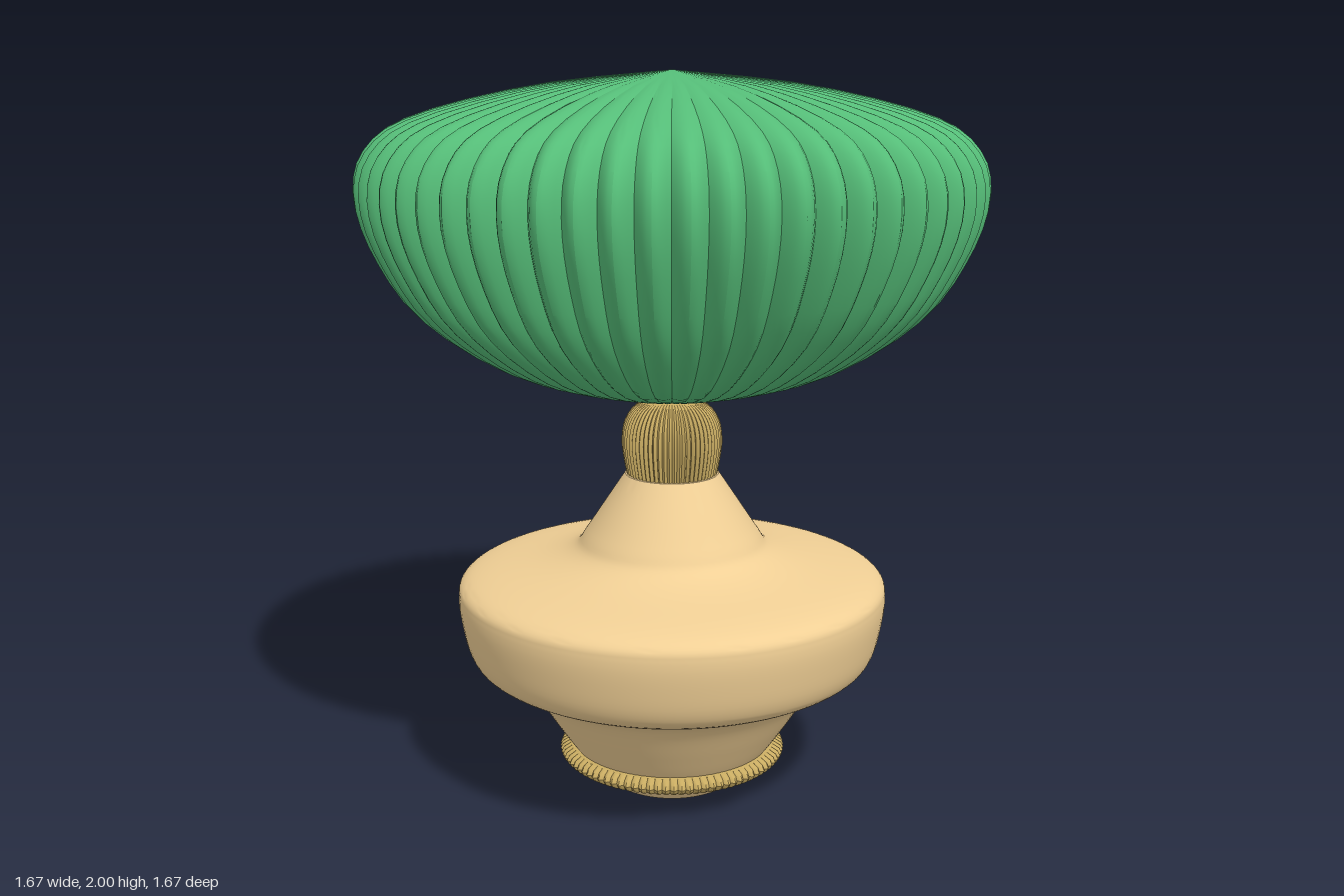
import * as THREE from 'three';
import { toCreasedNormals } from 'three/addons/utils/BufferGeometryUtils.js';

const points = list => list.map(([x, y]) => new THREE.Vector2(x, y));

// Smooth profile through a few control points
const smooth = (list, n) => new THREE.SplineCurve(points(list)).getPoints(n).map(p => p.setX(Math.max(p.x, 0)));

// Revolved shape whose radius is scalloped into rounded ribs
function ribbedLathe(profile, ribs, perRib, depth, crease) {
  const geometry = new THREE.LatheGeometry(profile, ribs * perRib);
  const pos = geometry.attributes.position;
  for (let i = 0; i < pos.count; i++) {
    const x = pos.getX(i), z = pos.getZ(i);
    const lobe = Math.abs(Math.cos(Math.atan2(x, z) * ribs / 2));
    const k = 1 - depth * (1 - lobe);
    pos.setX(i, x * k);
    pos.setZ(i, z * k);
  }
  return toCreasedNormals(geometry, crease);
}

export function createModel() {
  const group = new THREE.Group();
  const wood = new THREE.MeshStandardMaterial({ color: 0xf0cf95 });
  const brass = new THREE.MeshStandardMaterial({ color: 0xc9ac62 });
  const green = new THREE.MeshStandardMaterial({ color: 0x55bd78 });
  const add = (name, geometry, material) => {
    const mesh = new THREE.Mesh(geometry, material);
    mesh.name = name;
    group.add(mesh);
  };

  // Turned body, from the foot up to the neck
  const foot = points([[0, 0], [0.14, 0.004]]);
  const bodyCurve = smooth([
    [0.14, 0.004], [0.18, 0.012], [0.22, 0.05], [0.28, 0.12], [0.335, 0.2], [0.395, 0.29], [0.44, 0.33],
    [0.535, 0.378], [0.57, 0.42], [0.59, 0.5], [0.597, 0.57], [0.585, 0.61], [0.52, 0.637],
    [0.36, 0.668], [0.275, 0.7], [0.24, 0.745], [0.18, 0.835], [0.13, 0.91],
  ], 90);
  const body = new THREE.LatheGeometry([...foot, ...bodyCurve.slice(1), new THREE.Vector2(0, 0.915)], 96);
  add('body', toCreasedNormals(body, 0.7), wood);

  // Beaded ring around the foot
  add('footRing', ribbedLathe(points([
    [0.21, 0.078], [0.27, 0.077], [0.3, 0.08], [0.315, 0.09], [0.321, 0.101],
    [0.315, 0.113], [0.3, 0.122], [0.27, 0.125], [0.25, 0.125],
  ]), 90, 4, 0.03, 0.6), brass);

  // Fluted collar between the neck and the shade
  add('collar', ribbedLathe([new THREE.Vector2(0, 0.905), ...smooth([
    [0.125, 0.905], [0.135, 0.96], [0.139, 1.01], [0.13, 1.06], [0.1, 1.1], [0.05, 1.118], [0, 1.12],
  ], 18)], 60, 4, 0.06, 0.6), brass);

  // Pleated shade, closed at both ends
  add('shade', ribbedLathe(smooth([
    [0, 1.118], [0.2, 1.147], [0.465, 1.225], [0.68, 1.37], [0.79, 1.53], [0.836, 1.68],
    [0.805, 1.8], [0.68, 1.885], [0.36, 1.962], [0, 2],
  ], 30), 60, 8, 0.05, 0.5), green);

  return group;
}
